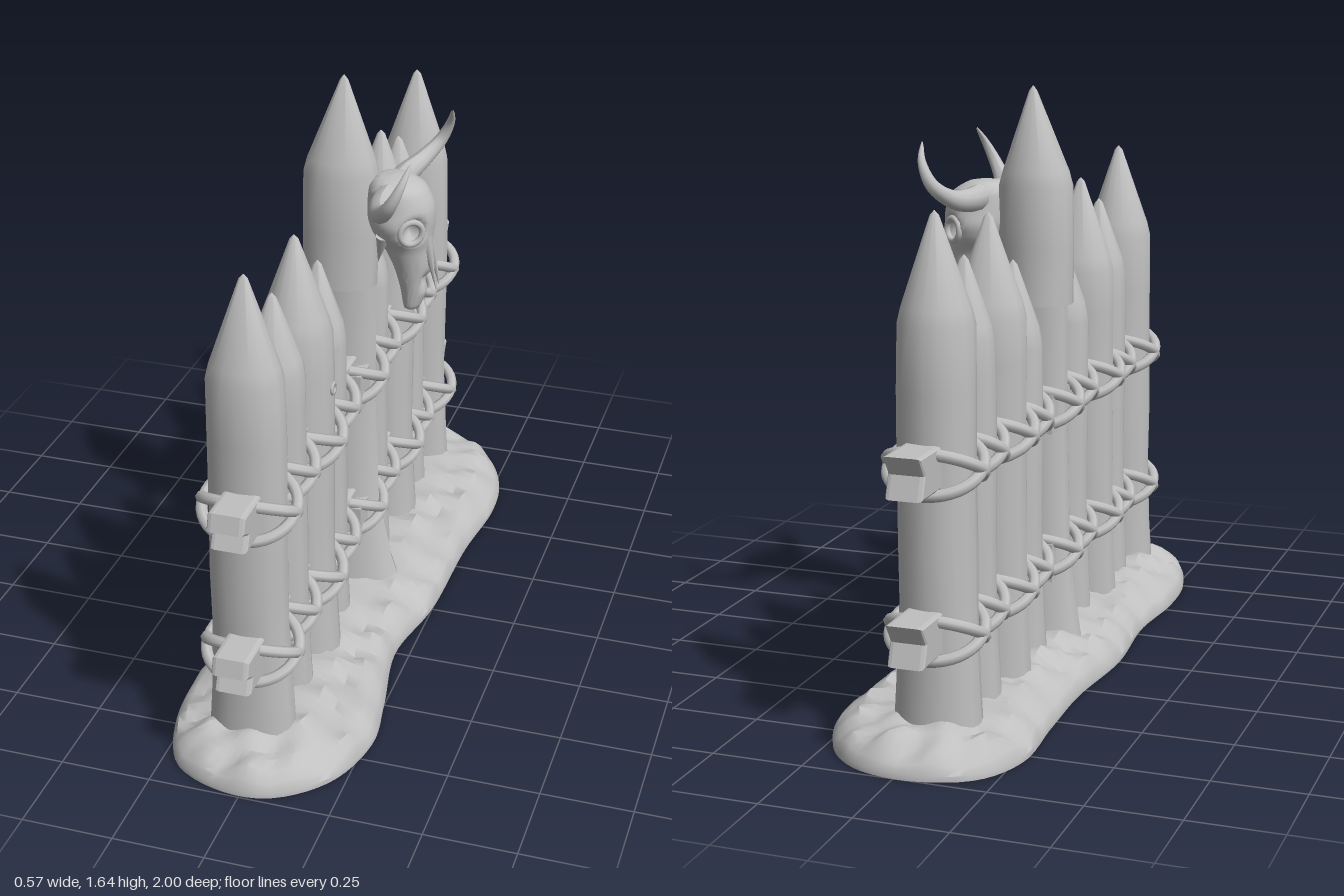
import * as THREE from 'three';
import { toCreasedNormals } from 'three/addons/utils/BufferGeometryUtils.js';

const stone = new THREE.MeshStandardMaterial({ color: 0xc0c0c0 });
stone.name = 'plain grey';

function add(parent, geometry, name) {
  const mesh = new THREE.Mesh(geometry, stone);
  mesh.name = name;
  parent.add(mesh);
  return mesh;
}

// Closed skin over rings; at(row, column) gives [x, y, z], rows run upward
function skin(rows, cols, at, crease = 0.65) {
  const pos = [], index = [];
  for (let r = 0; r < rows; r++)
    for (let c = 0; c < cols; c++) pos.push(...at(r, c));
  for (let r = 0; r < rows - 1; r++)
    for (let c = 0; c < cols; c++) {
      const a = r * cols + c, b = r * cols + (c + 1) % cols;
      index.push(a, a + cols, b, b, a + cols, b + cols);
    }
  const g = new THREE.BufferGeometry();
  g.setAttribute('position', new THREE.Float32BufferAttribute(pos, 3));
  g.setIndex(index);
  return toCreasedNormals(g, crease);
}

const bump = (x, y, z) => Math.sin(x * 31 + z * 17 + y * 5) * Math.sin(z * 23 - x * 19 + 1.3) +
  0.5 * Math.sin(z * 47 + x * 41);

// Uneven ground, inset ring by ring toward a spine along z
function groundGeometry() {
  const outline = [[.25, 0], [.21, .25], [.25, .5], [.27, .68], [.21, .87], [.08, .98], [-.05, .99],
    [-.2, .92], [-.27, .75], [-.285, .55], [-.265, .3], [-.285, 0], [-.26, -.3], [-.265, -.55],
    [-.27, -.8], [-.2, -.94], [-.05, -1], [.1, -.98], [.2, -.9], [.27, -.75], [.285, -.6], [.26, -.35]];
  const curve = new THREE.CatmullRomCurve3(outline.map(([x, z]) => new THREE.Vector3(x, 0, z)), true);
  const n = 140, edge = curve.getSpacedPoints(n);
  const rings = [[0, 0, 0], [1, 0, 0], [1, .015, 0], [.95, .04, .008], [.86, .06, .014], [.74, .075, .016],
    [.6, .085, .016], [.45, .095, .014], [.25, .1, .01], [0, .1, 0]];
  return skin(rings.length, n, (r, c) => {
    const p = edge[c], [s, y, rough] = rings[r];
    const sz = THREE.MathUtils.clamp(p.z, -.75, .75);
    const x = -.02 + (p.x + .02) * s, z = sz + (p.z - sz) * s;
    return [x, y + rough * bump(x, y, z), z];
  }, 0.7);
}

// Sharpened log: rows are [y, radius x, radius z, shift x]
function logGeometry(rows, z0, seed) {
  const n = 16;
  return skin(rows.length, n, (r, c) => {
    const [y, rx, rz, dx = 0] = rows[r], a = c / n * Math.PI * 2;
    const k = 1 + .025 * Math.sin(a * 3 + seed) + .015 * Math.sin(y * 9 + seed * 2 + a);
    return [-.035 + dx + rx * k * Math.cos(a), y, z0 + rz * k * Math.sin(a)];
  });
}

// Rope loop around a log, tilted so that it climbs along z
function ropeGeometry(x0, y0, z0, rx, rz, lift) {
  const pts = [];
  for (let i = 0; i < 16; i++) {
    const a = i / 16 * Math.PI * 2;
    pts.push(new THREE.Vector3(x0 + rx * Math.cos(a), y0 + lift * Math.sin(a), z0 + rz * Math.sin(a)));
  }
  return new THREE.TubeGeometry(new THREE.CatmullRomCurve3(pts, true), 40, .016, 7, true);
}

// Rail with split, notched ends
function railGeometry() {
  const s = new THREE.Shape([[-.97, -.05], [.94, -.045], [.92, -.005], [.96, .015], [.95, .05],
    [-.98, .05], [-.95, .005]].map(([x, y]) => new THREE.Vector2(x, y)));
  const g = new THREE.ExtrudeGeometry(s, { depth: .075, bevelSize: .008, bevelThickness: .012, bevelSegments: 2 });
  return g.rotateY(-Math.PI / 2).translate(.01, 0, 0);
}

// Curved horn that thins toward its tip
function hornGeometry(side) {
  const curve = new THREE.CatmullRomCurve3([[.12, 1.335, .05], [.12, 1.335, .12], [.14, 1.345, .2],
    [.18, 1.39, .255], [.21, 1.45, .25], [.225, 1.5, .21]].map(([x, y, z]) => new THREE.Vector3(x, y, z * side)));
  const seg = 24, sides = 10, g = new THREE.TubeGeometry(curve, seg, 1, sides);
  const p = g.attributes.position, v = new THREE.Vector3();
  for (let i = 0; i <= seg; i++) {
    const centre = curve.getPointAt(i / seg), radius = .036 * Math.pow(1 - i / seg, .75) + .002;
    for (let j = 0; j <= sides; j++) {
      const k = i * (sides + 1) + j;
      v.fromBufferAttribute(p, k).sub(centre).multiplyScalar(radius).add(centre);
      p.setXYZ(k, v.x, v.y, v.z);
    }
  }
  g.computeVertexNormals();
  return g;
}

// Long skull: rows are [y, centre x, radius x, radius z], with hollows pushed in
function skullGeometry() {
  const profile = [[.985, .175, .001, .001], [.995, .175, .022, .03], [1.05, .18, .038, .038], [1.12, .175, .055, .048],
    [1.18, .16, .07, .062], [1.22, .148, .085, .088], [1.26, .143, .093, .098], [1.3, .14, .093, .09],
    [1.35, .13, .078, .08], [1.375, .12, .045, .05], [1.382, .12, .001, .001]];
  const curve = new THREE.CatmullRomCurve3(profile.map(([y, x]) => new THREE.Vector3(x, y, 0)));
  const sizes = new THREE.CatmullRomCurve3(profile.map(([, , rx, rz]) => new THREE.Vector3(rx, rz, 0)));
  const rows = 41, n = 40;
  const hollows = [[.2, 1.245, .075, .036], [.2, 1.245, -.075, .036], [.225, 1.08, .018, .024], [.225, 1.08, -.018, .024]];
  return skin(rows, n, (r, c) => {
    const t = r / (rows - 1), m = curve.getPoint(t), size = sizes.getPoint(t), a = c / n * Math.PI * 2;
    let x = m.x + Math.max(size.x, .001) * Math.cos(a), z = Math.max(size.y, .001) * Math.sin(a);
    for (const [hx, hy, hz, hr] of hollows) {
      const d = Math.hypot(x - hx, m.y - hy, z - hz) / hr;
      if (d < 1.3) {
        const k = 1 - .45 * Math.exp(-d * d * d * 1.5);
        x = m.x + (x - m.x) * k;
        z *= k;
      }
    }
    return [x, m.y, z];
  }, 0.9);
}

export function createModel() {
  const model = new THREE.Group();
  model.name = 'palisade';
  add(model, groundGeometry(), 'ground');

  // Sharpened stakes: [z, tip height, shoulder height, radius x, radius z]
  const stakes = new THREE.Group();
  stakes.name = 'stakes';
  model.add(stakes);
  const sizes = [[.77, 1.4, 1.12, .104, .086], [.57, 1.26, 1.04, .086, .075], [.39, 1.345, 1.07, .104, .09],
    [.2, 1.19, .97, .082, .073]];
  const all = [...sizes, ...sizes.map(([z, ...rest]) => [-z - .005, ...rest])];
  all.forEach(([z, tip, shoulder, rx, rz], i) => {
    const rows = [[.03, rx * 1.18, rz * .95], [.2, rx * 1.08, rz * .94], [.4, rx, rz * .92], [.55, rx, rz * 1.02],
      [.75, rx, rz * .92], [.95, rx, rz * .98], [shoulder, rx * .97, rz], [shoulder + .04, rx * .88, rz * .88],
      [tip - .012, .012, .01], [tip, .001, .001]];
    add(stakes, logGeometry(rows, z, i * 1.7), 'stake');
  });

  // Tall centre post: narrow flared shaft under a thicker head
  add(stakes, logGeometry([[.03, .17, .085, .02], [.15, .14, .075, .01], [.35, .108, .066], [.7, .098, .062],
    [1.08, .098, .064]], -.02, 2), 'centrePostShaft');
  add(stakes, logGeometry([[1.04, .001, .001], [1.04, .105, .082], [1.2, .108, .084], [1.37, .106, .086],
    [1.41, .095, .078], [1.63, .012, .01, .01], [1.645, .001, .001, .01]], -.01, 1), 'centrePostHead');

  // Knots on two stakes
  for (const z of [.385, -.395]) {
    const knot = add(stakes, new THREE.TorusGeometry(.014, .006, 6, 12), 'knot');
    knot.position.set(.068, .91, z);
    knot.rotation.y = Math.PI / 2;
  }

  // Two rails, each lashed to every stake by crossed ropes
  for (const y of [.77, .34]) {
    add(model, railGeometry(), 'rail').position.y = y;
    const block = add(model, new THREE.BoxGeometry(.17, .11, .2), 'railBlock');
    block.position.set(-.03, y - .03, -.005);
    const lashings = new THREE.Group();
    lashings.name = 'lashings';
    model.add(lashings);
    for (const [z, , , rx, rz] of [...all, [-.005, 0, 0, .104, .085]])
      for (const lift of [.055, -.055])
        add(lashings, ropeGeometry(-.033, y - .015, z, rx + .022, rz + .012, lift), 'rope');
  }

  // Horned skull hung on the centre post
  const skull = new THREE.Group();
  skull.name = 'hornedSkull';
  model.add(skull);
  add(skull, skullGeometry(), 'skull');
  for (const side of [1, -1]) {
    add(skull, hornGeometry(side), 'horn');
    const brow = add(skull, new THREE.TorusGeometry(.032, .009, 8, 20), 'eyeRim');
    brow.position.set(.19, 1.243, side * .072);
    brow.rotation.y = side > 0 ? .65 : Math.PI - .65;
    const nose = add(skull, new THREE.ConeGeometry(.018, .16, 8), 'noseBone');
    nose.position.set(.232, 1.135, side * .016);
    nose.rotation.set(0, 0, Math.PI + .2);
    const cheek = add(skull, new THREE.ConeGeometry(.02, .09, 8), 'cheekBone');
    cheek.position.set(.1, 1.18, side * .06);
    cheek.rotation.set(side * .2, 0, Math.PI - .2);
  }
  return model;
}
